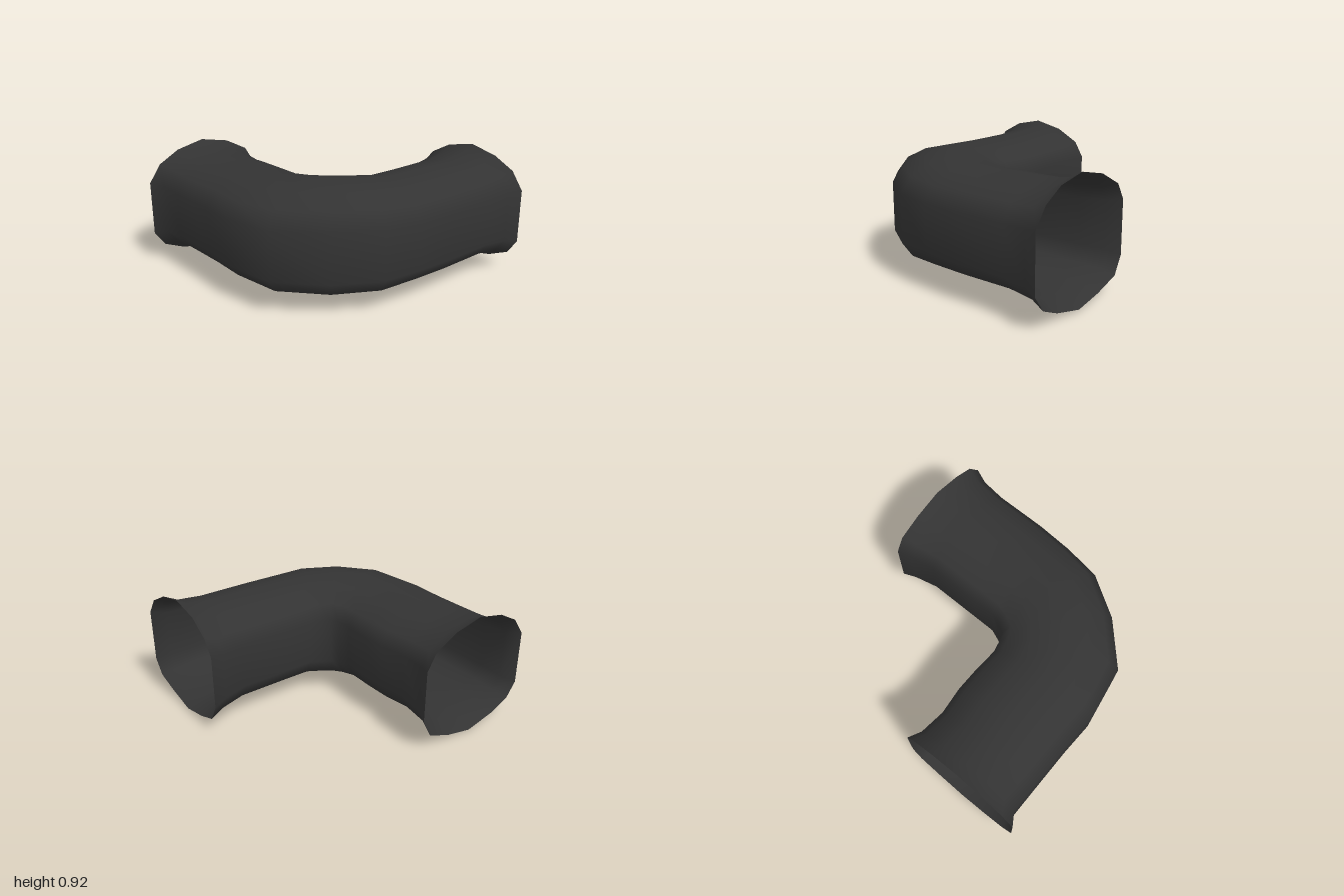
import * as THREE from 'three';

// Each ring along the elbow: outer x, outer z, inner x, inner z, bottom y, top y
const RINGS = [
  [-1.0, -1.0, -0.04, -1.0, 0.0, 0.92],
  [-0.935, -0.9, -0.085, -0.9, 0.06, 0.87],
  [-0.935, -0.7, -0.105, -0.7, 0.085, 0.85],
  [-0.935, -0.5, -0.08, -0.49, 0.085, 0.85],
  [-0.935, -0.3, -0.08, -0.3, 0.085, 0.85],
  [-0.945, -0.02, -0.09, -0.11, 0.083, 0.853],
  [-0.88, 0.36, -0.07, -0.02, 0.065, 0.873],
  [-0.6, 0.66, -0.045, 0.045, 0.055, 0.882],
  [-0.29, 0.86, 0.03, 0.08, 0.065, 0.873],
  [0.0, 0.91, 0.11, 0.11, 0.083, 0.853],
  [0.3, 0.93, 0.3, 0.11, 0.085, 0.85],
  [0.7, 0.93, 0.7, 0.11, 0.085, 0.85],
  [0.89, 0.95, 0.89, 0.07, 0.06, 0.87],
  [0.99, 0.99, 0.99, 0.035, 0.01, 0.92],
];

// Unit cross-section: u = 1 is the outside of the bend, v = 1 is the top
const SECTION = [
  [1, 0.42], [0.8, 0.71], [0.46, 0.9], [0, 1], [-0.48, 0.89], [-0.85, 0.68], [-1, 0.42],
  [-1, -0.45], [-0.85, -0.74], [-0.46, -0.9], [0, -1], [0.5, -0.88], [0.83, -0.73], [1, -0.48],
];

function loftPipe() {
  const positions = [];
  const index = [];
  const n = SECTION.length;
  RINGS.forEach(([ox, oz, ix, iz, y0, y1], r) => {
    for (const [u, v] of SECTION) {
      const t = (1 - u) / 2;
      positions.push(
        THREE.MathUtils.lerp(ox, ix, t),
        THREE.MathUtils.lerp(y0, y1, (v + 1) / 2),
        THREE.MathUtils.lerp(oz, iz, t)
      );
    }
    // The right-hand mouth bulges slightly at its centre
    if (r === RINGS.length - 1) {
      SECTION.forEach(([, v], j) => {
        if (Math.abs(v) < 0.8) positions[(r * n + j) * 3] += 0.01;
      });
    }
  });
  for (let r = 0; r < RINGS.length - 1; r++) {
    for (let j = 0; j < n; j++) {
      const a = r * n + j;
      const b = r * n + ((j + 1) % n);
      index.push(a, a + n, b, b, a + n, b + n);
    }
  }
  const geometry = new THREE.BufferGeometry();
  geometry.setAttribute('position', new THREE.Float32BufferAttribute(positions, 3));
  geometry.setIndex(index);
  geometry.computeVertexNormals();
  return geometry;
}

export function createModel() {
  const group = new THREE.Group();
  group.name = 'pipeElbow';

  const darkGrey = new THREE.MeshStandardMaterial({ color: 0x333333, side: THREE.DoubleSide });
  darkGrey.name = 'darkGrey';

  // Open elbow with flared mouths
  const pipe = new THREE.Mesh(loftPipe(), darkGrey);
  pipe.name = 'elbowPipe';
  group.add(pipe);

  return group;
}
